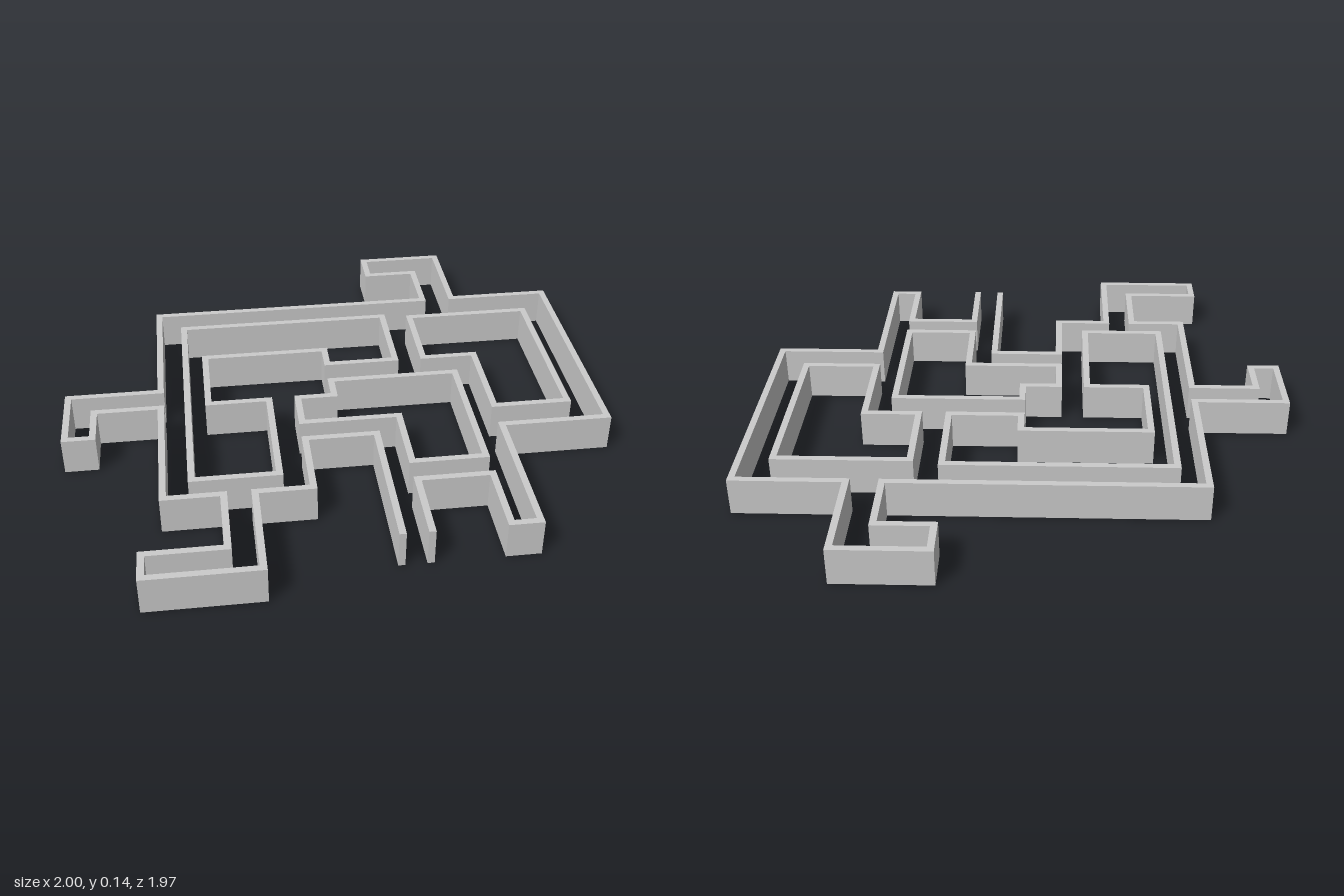
import * as THREE from 'three';

const WALL = 0.024, HEIGHT = 0.136;

// Mitred parallel of a right-angled centre line given as [x, z] points
function offsetLine(points, distance, closed) {
  const n = points.length;
  const normal = (a, b) => {
    const dx = b[0] - a[0], dz = b[1] - a[1], len = Math.hypot(dx, dz);
    return [-dz / len, dx / len];
  };
  return points.map((p, i) => {
    const prev = closed || i > 0 ? normal(points[(i + n - 1) % n], p) : null;
    const next = closed || i < n - 1 ? normal(p, points[(i + 1) % n]) : null;
    const a = prev || next, b = next || prev;
    const k = distance / (1 + a[0] * b[0] + a[1] * b[1]);
    return new THREE.Vector2(p[0] + (a[0] + b[0]) * k, -(p[1] + (a[1] + b[1]) * k));
  });
}

// Upright wall of even thickness; closed lines run clockwise seen from above
function wall(name, points, closed) {
  const inner = offsetLine(points, WALL / 2, closed);
  const outer = offsetLine(points, -WALL / 2, closed).reverse();
  const shape = new THREE.Shape(closed ? outer : [...inner, ...outer]);
  if (closed) shape.holes.push(new THREE.Path(inner));
  const geometry = new THREE.ExtrudeGeometry(shape, { depth: HEIGHT, bevelEnabled: false });
  geometry.rotateX(-Math.PI / 2);
  const mesh = new THREE.Mesh(geometry, new THREE.MeshStandardMaterial({ color: 0xcccccc }));
  mesh.name = name;
  return mesh;
}

export function createModel() {
  const maze = new THREE.Group();
  maze.name = 'mazeWalls';

  // Outer boundary, running from one side of the front entrance to the other
  maze.add(wall('outerWall', [
    [0.128, 0.869], [0.128, 0.315], [-0.132, 0.315], [-0.132, 0.592],
    [-0.332, 0.592], [-0.332, 0.971], [-0.715, 0.971], [-0.715, 0.861],
    [-0.438, 0.861], [-0.438, 0.592], [-0.643, 0.592], [-0.643, 0.06],
    [-0.889, 0.06], [-0.889, 0.22], [-0.988, 0.22], [-0.988, -0.045],
    [-0.643, -0.045], [-0.643, -0.604], [0.468, -0.604], [0.468, -0.843],
    [0.269, -0.843], [0.269, -0.974], [0.591, -0.974], [0.591, -0.604],
    [0.985, -0.604], [0.985, 0.315], [0.589, 0.315], [0.589, 0.857],
    [0.49, 0.857], [0.49, 0.592], [0.226, 0.592], [0.226, 0.869],
  ], false));

  // Closed islands between the corridors
  maze.add(wall('leftIsland', [
    [-0.544, -0.49], [0.275, -0.49], [0.275, -0.16], [0.006, -0.16],
    [0.006, -0.262], [-0.467, -0.262], [-0.467, 0.056], [-0.24, 0.056],
    [-0.24, 0.503], [-0.544, 0.503],
  ], true));
  maze.add(wall('rightIsland', [
    [0.387, -0.47], [0.868, -0.47], [0.868, 0.196], [0.589, 0.196],
    [0.589, -0.16], [0.387, -0.16],
  ], true));
  maze.add(wall('centreIsland', [
    [0.006, -0.044], [0.489, -0.044], [0.489, 0.492], [0.226, 0.492],
    [0.226, 0.215], [-0.132, 0.215], [-0.132, 0.056], [0.006, 0.056],
  ], true));

  return maze;
}
